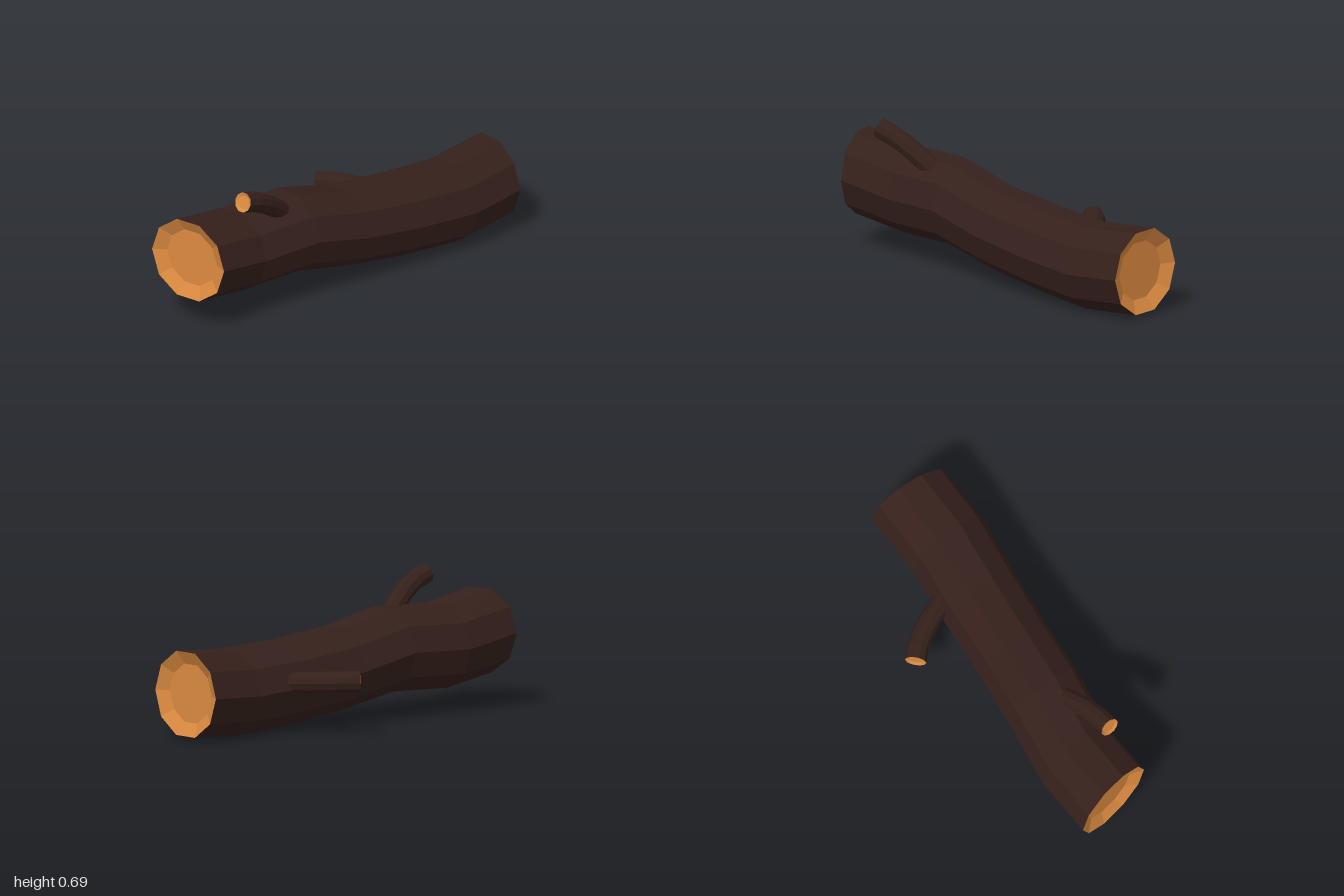
import * as THREE from 'three';

const SIDES = 10;
const bark = new THREE.MeshStandardMaterial({ color: 0x35201b, flatShading: true });
const wood = new THREE.MeshStandardMaterial({ color: 0xdb8a40, flatShading: true });

// A ring of points around a centre, facing along the normal n
function ring(c, n, r) {
  const u = new THREE.Vector3(n.z, 0, -n.x).normalize();
  const v = new THREE.Vector3().crossVectors(n, u);
  return Array.from({ length: SIDES }, (_, i) => {
    const a = (i / SIDES) * Math.PI * 2;
    return c.clone().addScaledVector(u, r * Math.cos(a)).addScaledVector(v, r * Math.sin(a));
  });
}

// Skin consecutive rings with faceted quads; closeAt adds a fan to a centre point
function loft(name, rings, material, closeAt) {
  const tris = [];
  for (let j = 0; j < rings.length - 1; j++) {
    for (let i = 0; i < SIDES; i++) {
      const k = (i + 1) % SIDES;
      const a = rings[j][i], b = rings[j][k], c = rings[j + 1][k], d = rings[j + 1][i];
      tris.push(a, b, d, b, c, d);
    }
  }
  if (closeAt) {
    const last = rings[rings.length - 1];
    last.forEach((p, i) => tris.push(p, last[(i + 1) % SIDES], closeAt));
  }
  const geometry = new THREE.BufferGeometry().setFromPoints(tris);
  geometry.computeVertexNormals();
  const mesh = new THREE.Mesh(geometry, material);
  mesh.name = name;
  return mesh;
}

// Cut end: a bevel sloping in to a recessed flat floor
function cutEnd(name, c, n, r) {
  const floor = c.clone().addScaledVector(n, -0.16 * r);
  return loft(name, [ring(c, n, r), ring(floor, n, r * 0.69)], wood, floor);
}

// Side branch following a curve from inside the trunk to its cut tip
function branch(name, points, radius) {
  const group = new THREE.Group();
  group.name = name;
  const curve = new THREE.CatmullRomCurve3(points.map((p) => new THREE.Vector3(...p)));
  const rings = [];
  for (let i = 0; i <= 4; i++) {
    rings.push(ring(curve.getPoint(i / 4), curve.getTangent(i / 4), radius));
  }
  group.add(loft(name + 'Bark', rings, bark));
  group.add(cutEnd(name + 'CutEnd', curve.getPoint(1), curve.getTangent(1), radius));
  return group;
}

export function createModel() {
  const model = new THREE.Group();
  model.name = 'log';

  // Trunk sections: x, y, z, yaw of the section, radius
  const sections = [
    [-0.892, 0.362, 0.28, 0.525, 0.215],
    [-0.605, 0.318, 0.172, 0.455, 0.213],
    [-0.285, 0.33, 0.108, 0.39, 0.213],
    [0.01, 0.265, 0.045, 0.375, 0.209],
    [0.32, 0.228, -0.028, 0.36, 0.212],
    [0.645, 0.208, -0.102, 0.355, 0.216],
    [0.935, 0.23, -0.213, 0.29, 0.217],
  ].map(([x, y, z, yaw, r]) => ({
    c: new THREE.Vector3(x, y, z),
    n: new THREE.Vector3(Math.cos(yaw), 0, -Math.sin(yaw)),
    r,
  }));
  model.add(loft('trunkBark', sections.map((s) => ring(s.c, s.n, s.r)), bark));

  // Cut faces at both ends of the trunk
  const first = sections[0], last = sections[sections.length - 1];
  model.add(cutEnd('rightCutEnd', first.c, first.n.clone().negate(), first.r));
  model.add(cutEnd('leftCutEnd', last.c, last.n, last.r));

  // Side branches
  model.add(branch('frontBranch', [
    [-0.33, 0.45, 0.17], [-0.44, 0.55, 0.245], [-0.535, 0.614, 0.298], [-0.627, 0.647, 0.338],
  ], 0.05));
  model.add(branch('backBranch', [
    [0.37, 0.25, -0.21], [0.265, 0.258, -0.322], [0.185, 0.264, -0.385], [0.098, 0.266, -0.428],
  ], 0.053));

  return model;
}
